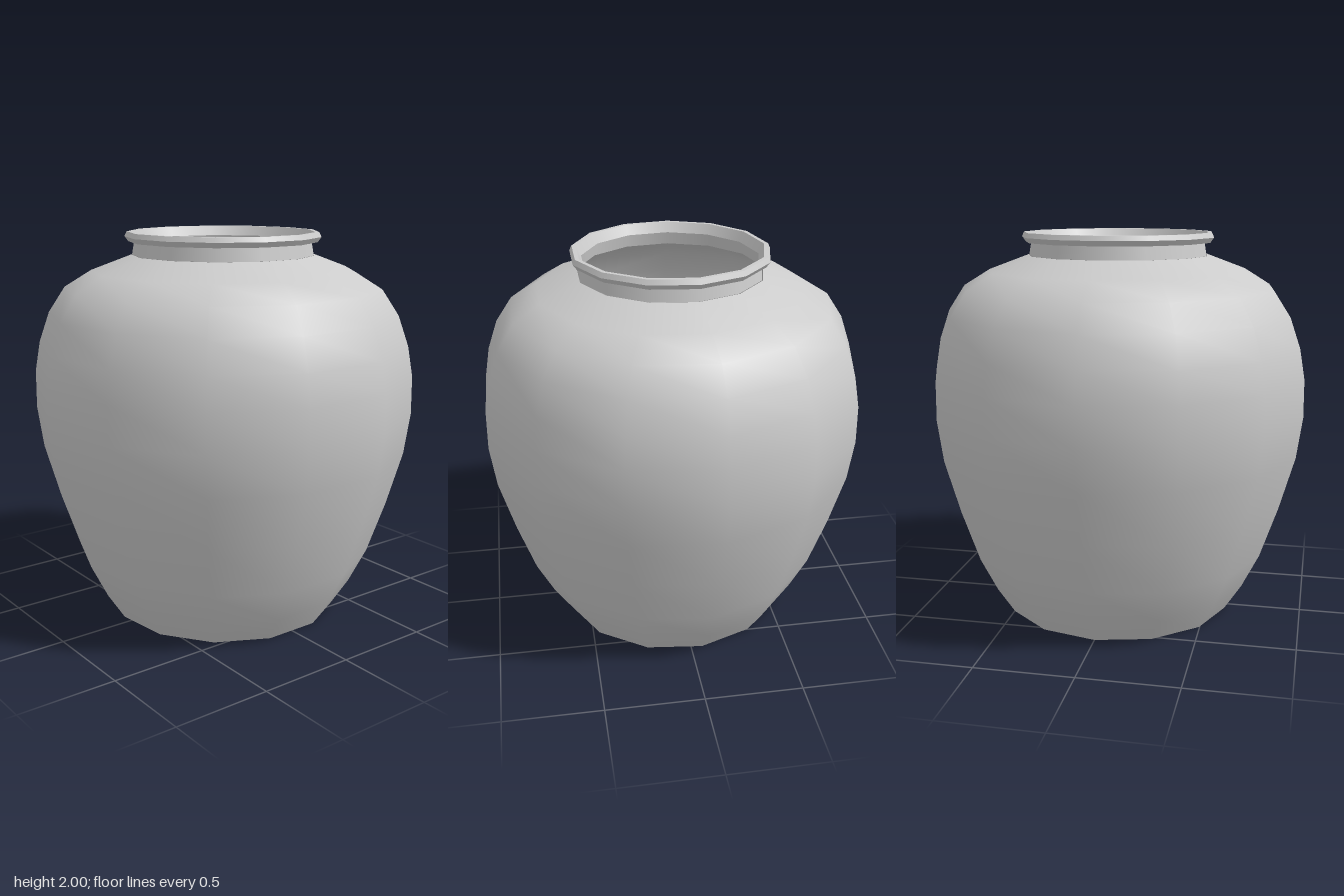
import * as THREE from 'three';

const SIDES = 13;

export function createModel() {
  const model = new THREE.Group();
  model.name = 'jar';
  const material = new THREE.MeshStandardMaterial({ color: 0xcccccc, side: THREE.DoubleSide });

  // Turned band from [radius, height] pairs, with one corner pointing to the back
  function turned(name, profile) {
    const points = profile.map(([r, y]) => new THREE.Vector2(r, y));
    const mesh = new THREE.Mesh(new THREE.LatheGeometry(points, SIDES, Math.PI), material);
    mesh.name = name;
    mesh.position.z = 0.014; // centres the odd-sided outline
    model.add(mesh);
    return mesh;
  }

  // Rounded belly and shoulder
  turned('body', [
    [0.604, 0], [0.695, 0.14], [0.785, 0.32], [0.877, 0.59], [0.957, 0.87], [0.987, 1.085],
    [0.985, 1.28], [0.958, 1.435], [0.904, 1.59], [0.818, 1.72], [0.68, 1.805], [0.472, 1.883],
  ]);

  // Flat underside
  turned('base', [[0, 0], [0.604, 0]]);

  // Short upright neck
  turned('neck', [[0.468, 1.883], [0.456, 1.95]]);

  // Projecting lip, one band per sharp-edged face
  const lip = [[0.447, 1.95], [0.486, 1.95], [0.505, 1.976], [0.493, 2], [0.472, 2], [0.447, 1.95]];
  const names = ['lipUnderside', 'lipLowerEdge', 'lipUpperEdge', 'lipTop', 'lipInside'];
  names.forEach((name, i) => turned(name, [lip[i], lip[i + 1]]));

  return model;
}
